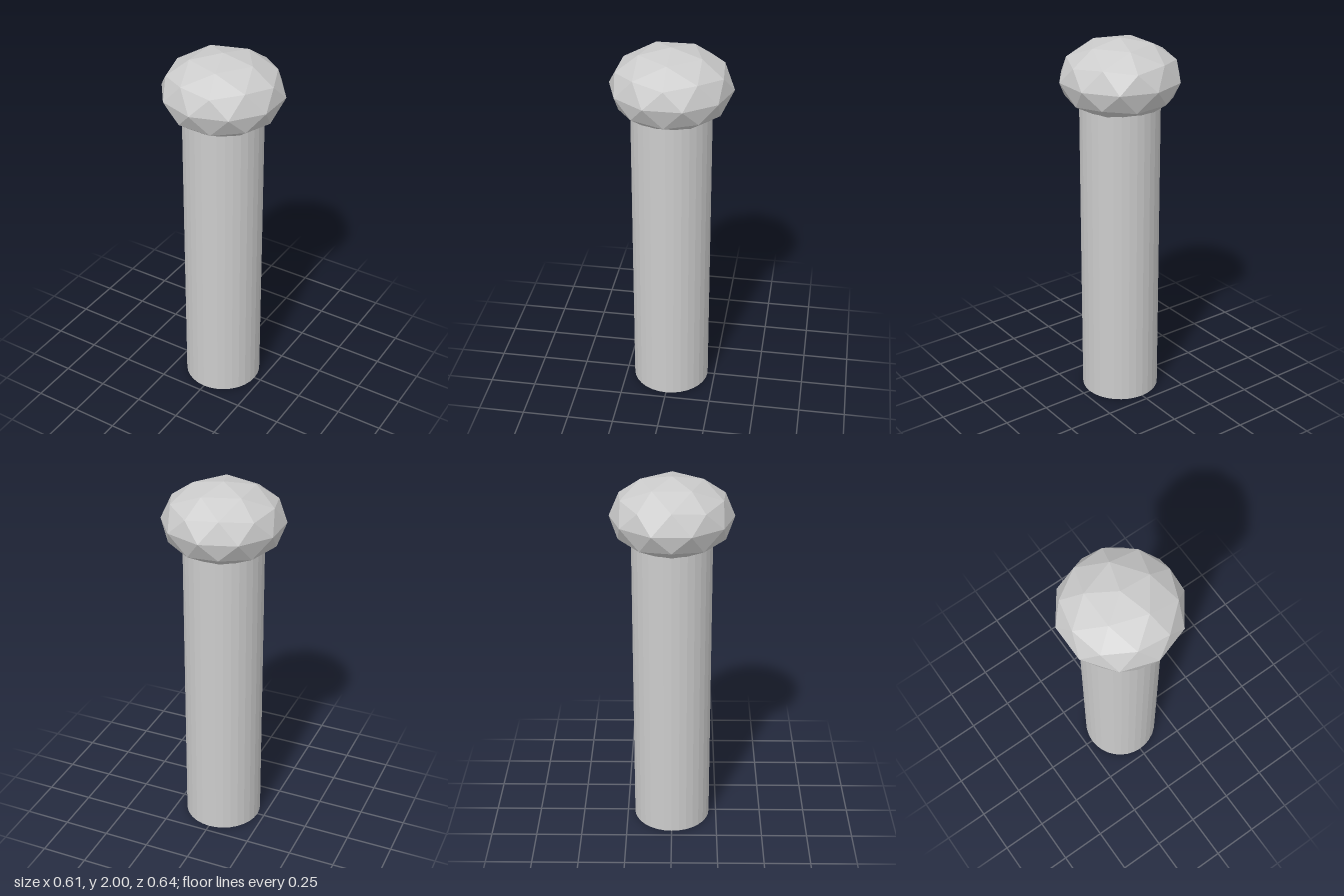
import * as THREE from 'three';

const material = new THREE.MeshStandardMaterial({ color: 0xcccccc, flatShading: true });

function addFaceted(group, name, geometry, y) {
  const faceted = geometry.index ? geometry.toNonIndexed() : geometry;
  faceted.computeVertexNormals();
  const mesh = new THREE.Mesh(faceted, material);
  mesh.name = name;
  mesh.position.y = y;
  group.add(mesh);
}

export function createModel() {
  const group = new THREE.Group();
  group.name = 'knobbedPost';

  // Straight round shaft, its top hidden inside the knob
  const shaftHeight = 1.7;
  addFaceted(group, 'shaft', new THREE.CylinderGeometry(0.21, 0.21, shaftHeight, 32), shaftHeight / 2);

  // Squashed icosphere knob, turned so that one corner points straight up
  const knob = new THREE.IcosahedronGeometry(1, 1);
  knob.rotateZ(-Math.atan(2 / (1 + Math.sqrt(5))));
  knob.scale(0.32, 0.207, 0.32);
  addFaceted(group, 'knob', knob, 1.793);

  return group;
}
